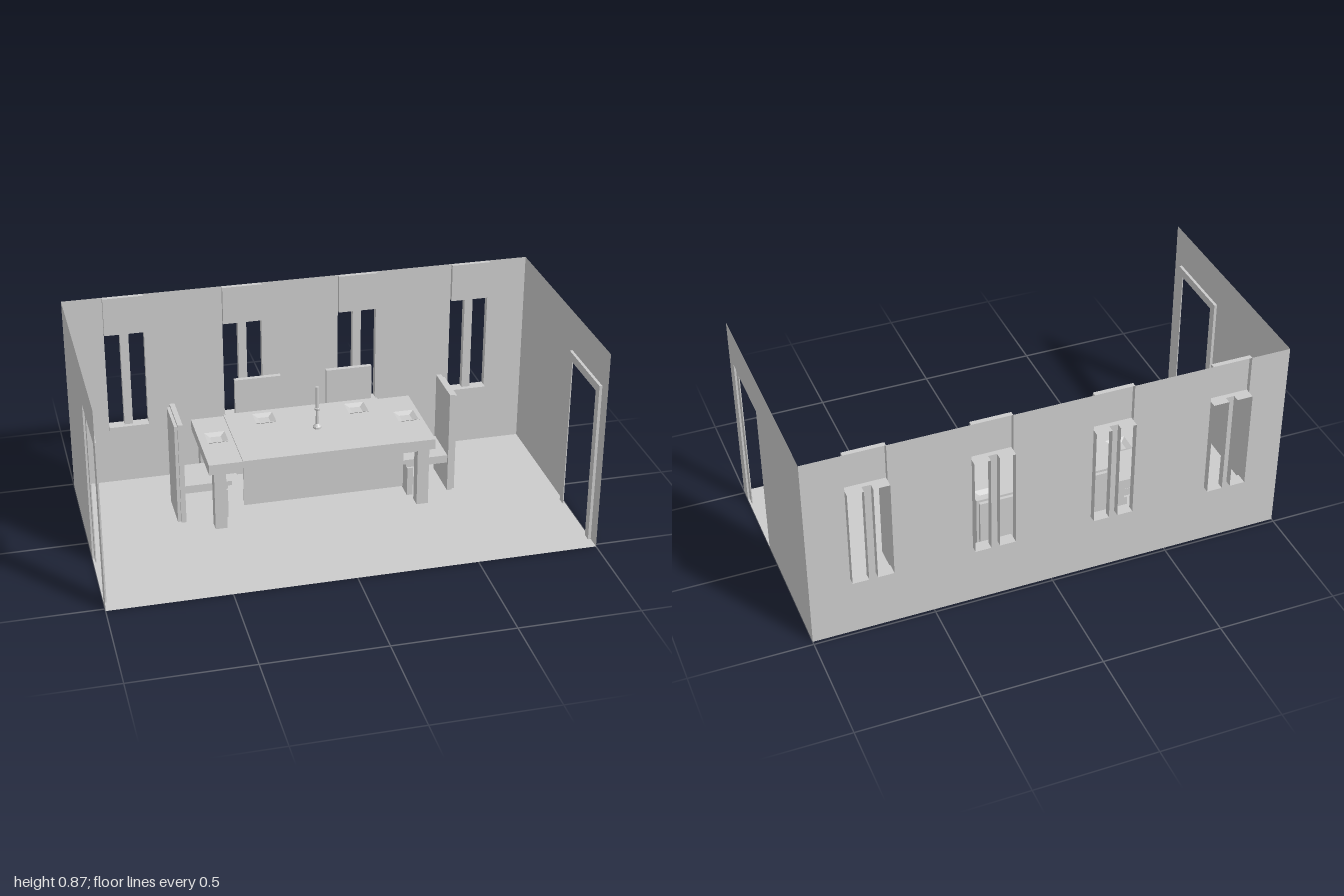
import * as THREE from 'three';

const mat = new THREE.MeshStandardMaterial({ color: 0xcccccc, flatShading: true, side: THREE.DoubleSide });
const BACK = -0.485, FRONT = 0.515, TOP = 0.865;

function add(parent, name, geometry) {
  const mesh = new THREE.Mesh(geometry, mat);
  mesh.name = name;
  parent.add(mesh);
  return mesh;
}

function group(parent, name) {
  const g = new THREE.Group();
  g.name = name;
  parent.add(g);
  return g;
}

// Box from its extents; skip lists faces left open (0..5 = +x -x +y -y +z -z)
function box(parent, name, [x0, x1], [y0, y1], [z0, z1], skip = []) {
  const g = new THREE.BoxGeometry(x1 - x0, y1 - y0, z1 - z0);
  g.translate((x0 + x1) / 2, (y0 + y1) / 2, (z0 + z1) / 2);
  if (skip.length) {
    g.setIndex(Array.from(g.index.array).filter((_, i) => !skip.includes(Math.floor(i / 6))));
    g.clearGroups();
  }
  return add(parent, name, g);
}

const polygon = (pts) => new THREE.Shape(pts.map(([x, y]) => new THREE.Vector2(x, y)));
const rect = (x0, x1, y0, y1) => [[x0, y0], [x1, y0], [x1, y1], [x0, y1]];

// Back wall, with slots for four double windows
function backWall(room) {
  const centers = [-0.75, -0.25, 0.25, 0.75], half = 0.084, mullion = 0.018;
  const outline = [[-1, 0], [1, 0], [1, TOP]];
  // the recesses above the windows cut the top edge of the wall
  for (const c of [...centers].reverse()) {
    outline.push([c + half, TOP], [c + half, 0.7], [c - half, 0.7], [c - half, TOP]);
  }
  outline.push([-1, TOP]);
  const wall = polygon(outline);
  for (const c of centers) {
    const win = group(room, 'window');
    for (const [a, b] of [[c - half, c - mullion], [c + mullion, c + half]]) {
      wall.holes.push(polygon(rect(a, b, 0.27, 0.6995)));
      box(win, 'windowReveal', [a, b], [0.27, 0.7], [-0.515, BACK], [4, 5]);
    }
    box(win, 'windowHeader', [c - half, c + half], [0.7, TOP], [BACK, -0.465], [5]);
    box(win, 'windowSill', [c - half, c + half], [0.25, 0.27], [BACK, -0.465]);
  }
  add(room, 'backWall', new THREE.ShapeGeometry(wall)).position.z = BACK;
}

// U-shaped door outline of constant width, in (z, y)
function arch(z0, z1, top, w) {
  return polygon([[z0, 0], [z0 + w, 0], [z0 + w, top - w], [z1 - w, top - w],
    [z1 - w, 0], [z1, 0], [z1, top], [z0, top]]);
}

// Side wall with a recessed door frame
function sideWall(room, side) {
  const g = group(room, side > 0 ? 'leftWall' : 'rightWall');
  const d0 = 0.12, d1 = 0.455, dTop = 0.7;
  const toSide = (geo, x) => geo.rotateY(-Math.PI / 2).translate(x, 0, 0);
  const wall = polygon([[BACK, 0], [d0, 0], [d0, dTop], [d1, dTop], [d1, 0],
    [FRONT, 0], [FRONT, TOP], [BACK, TOP]]);
  add(g, 'wallPanel', toSide(new THREE.ShapeGeometry(wall), side));
  const extrude = (shape, depth) => new THREE.ExtrudeGeometry(shape, { depth, bevelEnabled: false });
  // extrusion runs towards -x after turning
  add(g, 'doorFrame', toSide(extrude(arch(d0, d1, dTop, 0.036), 0.004), side > 0 ? 0.992 : -0.988));
  add(g, 'doorFrameEdge', toSide(extrude(arch(d0, d1, dTop, 0.002), 0.012), side > 0 ? 1 : -0.988));
}

// Table with legs, apron and a cloth draped over front and back
function table(room) {
  const t = group(room, 'table');
  box(t, 'tableTop', [-0.5, 0.455], [0.27, 0.315], [-0.375, 0.038]);
  for (const x of [-0.476, 0.386]) {
    for (const z of [-0.355, -0.035]) box(t, 'tableLeg', [x, x + 0.05], [0, 0.27], [z, z + 0.05]);
    box(t, 'sideApron', [x + 0.015, x + 0.035], [0.245, 0.27], [-0.305, -0.035]);
  }
  for (const z of [-0.34, -0.02]) box(t, 'longApron', [-0.426, 0.386], [0.245, 0.27], [z, z + 0.02]);
  const span = [-0.36, 0.315];
  box(t, 'clothTop', span, [0.315, 0.32], [-0.38, 0.044]);
  box(t, 'clothFront', span, [0.115, 0.32], [0.038, 0.044]);
  box(t, 'clothBack', span, [0.115, 0.32], [-0.38, -0.375]);
}

// Chair facing +z, its back at z = 0
function chair(room, x, z, turn) {
  const c = group(room, 'chair');
  box(c, 'chairRearBoard', [-0.09, 0.09], [0, 0.445], [0, 0.013]);
  box(c, 'chairBack', [-0.1, 0.1], [0, 0.455], [0.013, 0.034]);
  box(c, 'chairSeat', [-0.09, 0.09], [0.145, 0.165], [0.034, 0.232]);
  box(c, 'chairApron', [-0.09, 0.09], [0.13, 0.145], [0.034, 0.215]);
  box(c, 'chairFrontLeg', [-0.1, 0.1], [0, 0.13], [0.187, 0.212]);
  c.position.set(x, 0, z);
  c.rotation.y = turn;
}

const lathe = (pts, n) => new THREE.LatheGeometry(pts.map(([x, y]) => new THREE.Vector2(x, y)), n);

export function createModel() {
  const room = new THREE.Group();
  room.name = 'diningRoom';

  const floor = new THREE.PlaneGeometry(2, FRONT - BACK).rotateX(-Math.PI / 2);
  add(room, 'floor', floor).position.z = (FRONT + BACK) / 2;
  backWall(room);
  sideWall(room, 1);
  sideWall(room, -1);
  table(room);

  chair(room, -0.2, -0.452, 0);
  chair(room, 0.2, -0.452, 0);
  chair(room, -0.617, -0.17, Math.PI / 2);
  chair(room, 0.58, -0.17, -Math.PI / 2);

  // Square dishes
  const dish = lathe([[0, 0], [0.035, 0], [0.067, 0.014], [0.061, 0.014], [0.032, 0.003], [0, 0.003]], 4);
  dish.rotateY(Math.PI / 4);
  for (const [x, y, z] of [[-0.43, 0.316, -0.17], [0.385, 0.316, -0.17], [-0.203, 0.321, -0.283], [0.197, 0.321, -0.283]]) {
    add(room, 'dish', dish).position.set(x, y, z);
  }

  // Candlestick with candle
  const stick = lathe([[0, 0], [0.018, 0], [0.018, 0.008], [0.007, 0.02], [0.006, 0.08],
    [0.011, 0.085], [0.011, 0.092], [0.007, 0.094], [0.007, 0.19], [0, 0.19]], 12);
  add(room, 'candlestick', stick).position.set(0, 0.32, -0.17);
  return room;
}
